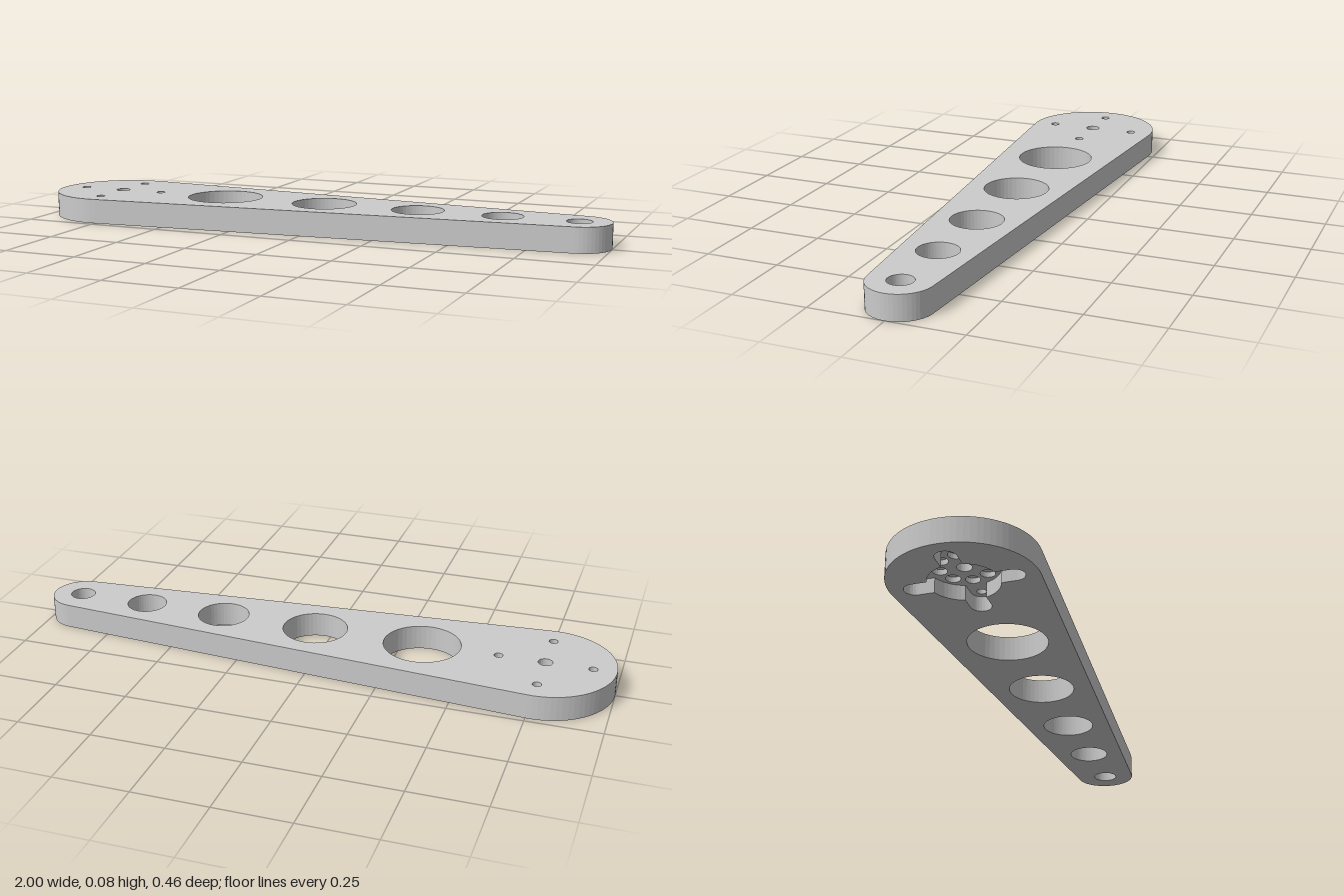
import * as THREE from 'three';
import { mergeGeometries } from 'three/addons/utils/BufferGeometryUtils.js';

const H = 0.084;          // plate thickness
const FLOOR = 0.05;       // depth of the cross-shaped pocket underneath
const BLIND = 0.068;      // end of the blind holes above the pocket floor
const HUB = -0.768;       // x of the wide end

// Counter-clockwise arc of points
function arc(cx, cy, r, from, to, n) {
  return Array.from({ length: n + 1 }, (_, i) => {
    const a = from + (to - from) * i / n;
    return new THREE.Vector2(cx + r * Math.cos(a), cy + r * Math.sin(a));
  });
}
const circle = (x, y, r, n = 32) => arc(x, y, r, 0, Math.PI * 2, n).slice(0, -1);

// Flat face with holes, looking up or down
function cap(outline, holes, y, up) {
  const shape = new THREE.Shape(outline);
  shape.holes = holes.map(h => new THREE.Path(h));
  const g = new THREE.ShapeGeometry(shape).rotateX(-Math.PI / 2);
  if (!up) {
    const ix = g.index.array;
    for (let i = 0; i < ix.length; i += 3) [ix[i], ix[i + 1]] = [ix[i + 1], ix[i]];
  }
  const flat = g.toNonIndexed().translate(0, y, 0);
  flat.deleteAttribute('uv');
  flat.computeVertexNormals();
  return flat;
}

// Upright wall along a closed outline, facing outward or into the hole
function wall(points, y0, y1, inward) {
  const pts = inward ? [...points].reverse() : points;
  const pos = [];
  pts.forEach((a, i) => {
    const b = pts[(i + 1) % pts.length];
    pos.push(a.x, y0, -a.y, b.x, y0, -b.y, b.x, y1, -b.y);
    pos.push(a.x, y0, -a.y, b.x, y1, -b.y, a.x, y1, -a.y);
  });
  const g = new THREE.BufferGeometry();
  g.setAttribute('position', new THREE.Float32BufferAttribute(pos, 3));
  g.computeVertexNormals();
  return g;
}

export function createModel() {
  const group = new THREE.Group();
  const material = new THREE.MeshStandardMaterial({ color: 0xcccccc, flatShading: true });
  const add = (name, parts) => {
    const mesh = new THREE.Mesh(mergeGeometries(parts), material);
    mesh.name = name;
    group.add(mesh);
  };

  // Tapered outline: two end arcs joined by their tangents
  const R = 0.232, r = 0.105, tip = 1 - r;
  const phi = Math.acos((R - r) / (tip - HUB));
  const outline = [
    ...arc(tip, 0, r, -phi, phi, 24),
    ...arc(HUB, 0, R, phi, Math.PI * 2 - phi, 40),
  ];

  // Lightening holes and the tip bore
  const bores = [[-0.355, 0.13], [0.02, 0.11], [0.355, 0.088], [0.645, 0.068], [tip, 0.042]]
    .map(([x, rad]) => circle(x, 0, rad, 48));

  // Screw holes: one in the centre, one at the end of each pocket arm
  const reach = 0.155;
  const screws = [circle(HUB, 0, 0.024, 24)];
  // Pocket: round hub with four round-ended arms
  const hubR = 0.11, w = 0.033, lift = Math.asin(w / hubR);
  const pocket = [];
  for (let k = 0; k < 4; k++) {
    const a = k * Math.PI / 2;
    const cx = HUB + reach * Math.cos(a), cy = reach * Math.sin(a);
    screws.push(circle(cx, cy, 0.015, 20));
    pocket.push(...arc(cx, cy, w, a - Math.PI / 2, a + Math.PI / 2, 12));
    pocket.push(...arc(HUB, 0, hubR, a + lift, a + Math.PI / 2 - lift, 8));
  }

  // Ring of blind holes in the pocket floor
  const blinds = Array.from({ length: 8 }, (_, k) => {
    const a = k * Math.PI / 4;
    return circle(HUB + 0.077 * Math.cos(a), 0.077 * Math.sin(a), 0.023, 20);
  });

  add('armPlate', [
    wall(outline, 0, H, false),
    cap(outline, [...bores, ...screws], H, true),
    cap(outline, [...bores, pocket], 0, false),
  ]);
  add('lighteningHoles', bores.map(b => wall(b, 0, H, true)));
  add('screwHoles', screws.map(s => wall(s, FLOOR, H, true)));
  add('crossPocket', [
    wall(pocket, 0, FLOOR, true),
    cap(pocket, [...screws, ...blinds], FLOOR, false),
  ]);
  add('blindHoles', blinds.flatMap(b => [wall(b, FLOOR, BLIND, true), cap(b, [], BLIND, false)]));
  return group;
}
